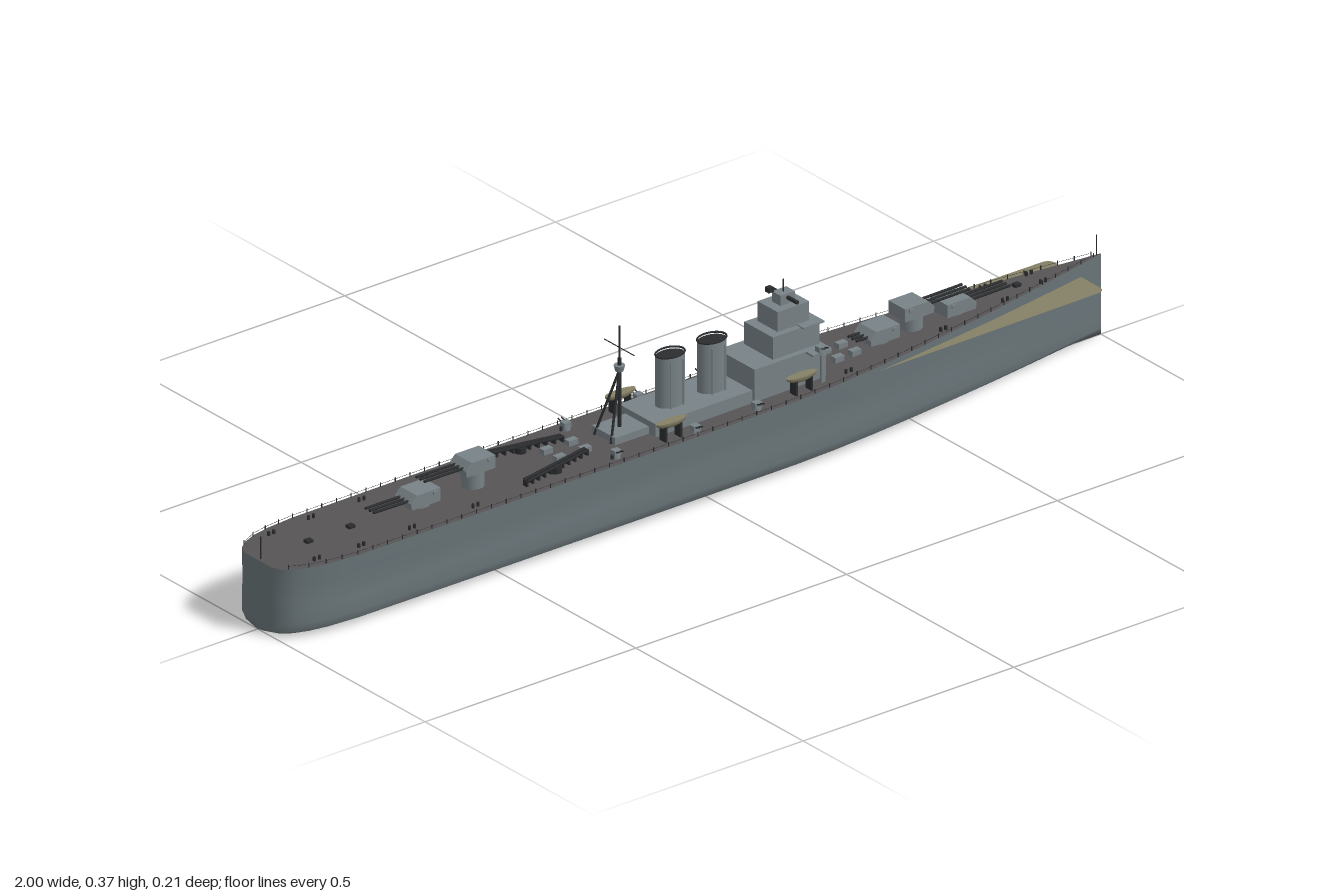
import * as THREE from 'three';
import { mergeGeometries } from 'three/addons/utils/BufferGeometryUtils.js';

const material = (name, color, side = THREE.FrontSide) => {
  const m = new THREE.MeshStandardMaterial({ color, side });
  m.name = name;
  return m;
};

// Hull plan: [x, half width] from stern to bow
const PLAN = [[-1, 0], [-1, 0.04], [-0.99, 0.06], [-0.97, 0.075], [-0.94, 0.087], [-0.9, 0.095],
  [-0.84, 0.1], [-0.5, 0.102], [0, 0.102], [0.2, 0.101], [0.3, 0.097], [0.4, 0.089], [0.5, 0.078],
  [0.6, 0.065], [0.7, 0.051], [0.8, 0.035], [0.9, 0.018], [1, 0.0005]];
const deckY = x => 0.144 + (x > 0.1 ? 0.024 * Math.pow((x - 0.1) / 0.9, 1.3) : 0);
const halfWidth = x => {
  const i = Math.max(2, PLAN.findIndex(p => p[0] >= x));
  const [a, b] = [PLAN[i - 1], PLAN[i]];
  return a[1] + (b[1] - a[1]) * (x - a[0]) / (b[0] - a[0]);
};

// Skin between equal-length rows of points
function skin(rows, flip = false) {
  const n = rows[0].length, index = [];
  for (let i = 0; i < rows.length - 1; i++) for (let j = 0; j < n - 1; j++) {
    const a = i * n + j, b = a + n;
    if (flip) index.push(a, b, a + 1, b, b + 1, a + 1);
    else index.push(a, a + 1, b, b, a + 1, b + 1);
  }
  const g = new THREE.BufferGeometry();
  g.setAttribute('position', new THREE.Float32BufferAttribute(rows.flat(2), 3));
  g.setIndex(index);
  g.computeVertexNormals();
  return g;
}

const boxGeo = (w, h, d, x, y, z) => new THREE.BoxGeometry(w, h, d).translate(x, y + h / 2, z);
function rodGeo(a, b, r, sides = 8) {
  const p = new THREE.Vector3(...a), q = new THREE.Vector3(...b), dir = q.clone().sub(p);
  const g = new THREE.CylinderGeometry(r, r, dir.length(), sides);
  g.applyQuaternion(new THREE.Quaternion().setFromUnitVectors(new THREE.Vector3(0, 1, 0), dir.clone().normalize()));
  return g.translate(...p.add(q).multiplyScalar(0.5).toArray());
}

export function createModel() {
  const ship = new THREE.Group();
  ship.name = 'warship';
  const hullGray = material('hull gray', 0x697478);
  const gray = material('superstructure gray', 0x788286);
  const deckGray = material('deck gray', 0x575456);
  const dark = material('dark fittings', 0x2b2d2f);
  const tan = material('tan', 0x858066, THREE.DoubleSide);
  const add = (name, geo, mat, parent = ship) => {
    const m = new THREE.Mesh(Array.isArray(geo) ? mergeGeometries(geo) : geo, mat);
    m.name = name;
    parent.add(m);
    return m;
  };

  // Hull shell and deck
  add('hull', skin(PLAN.map(([x, w]) => {
    const half = [[1, deckY(x)], [0.985, 0.11], [0.965, 0.078], [1, 0.062], [1, 0.03], [0.985, 0.014],
      [0.9, 0.009], [0.5, 0.005]];
    return [...half.map(([k, y]) => [x, y, k * w]), [x, 0.001, 0],
      ...half.slice().reverse().map(([k, y]) => [x, y, -k * w])];
  })), hullGray);
  add('deck', skin(PLAN.map(([x, w]) => [[x, deckY(x), w], [x, deckY(x), -w]]), true), deckGray);

  // Thin lower deck plate reaching past the bow flanks
  const plate = new THREE.Shape();
  plate.moveTo(0.2, -0.09);
  plate.lineTo(0.925, -0.084);
  plate.quadraticCurveTo(0.945, -0.084, 0.945, -0.065);
  plate.lineTo(0.945, 0.065);
  plate.quadraticCurveTo(0.945, 0.084, 0.925, 0.084);
  plate.lineTo(0.2, 0.09);
  add('lowerDeckPlate', new THREE.ShapeGeometry(plate).rotateX(-Math.PI / 2).translate(0, 0.14, 0), tan);

  // Guard rails following the deck edge
  const rails = [];
  for (const s of [1, -1]) {
    let last = null;
    for (let x = -0.98; x < 0.99; x += 0.035) {
      const y = deckY(x), z = s * halfWidth(x) * 0.98;
      rails.push(boxGeo(0.0015, 0.009, 0.0015, x, y, z));
      if (last) rails.push(rodGeo(last, [x, y + 0.006, z], 0.0004, 4));
      last = [x, y + 0.006, z];
    }
  }
  add('guardRails', rails, dark);

  // Bollards, hatches and end staffs
  const fittings = [rodGeo([0.99, 0.165, 0], [0.99, 0.21, 0], 0.001), rodGeo([-0.993, 0.14, 0], [-0.993, 0.19, 0], 0.001)];
  for (const x of [-0.92, -0.82, -0.7, -0.55, -0.22, 0.34, 0.58, 0.74, 0.84]) for (const s of [1, -1])
    for (const dx of [0, 0.012])
      fittings.push(new THREE.CylinderGeometry(0.003, 0.003, 0.008, 8).translate(x + dx, deckY(x) + 0.004, s * halfWidth(x) * 0.75));
  for (const x of [-0.88, -0.78, 0.8]) fittings.push(boxGeo(0.014, 0.006, 0.012, x, deckY(x), 0));
  add('deckFittings', fittings, dark);

  // Gun turrets: position, roof height, direction, barrel length
  function turret(x, y, dir, reach) {
    const g = new THREE.Group();
    g.name = 'gunTurret';
    g.position.set(x, y, 0);
    g.rotation.y = dir < 0 ? Math.PI : 0;
    const profile = new THREE.Shape([[-0.034, 0], [0.034, 0], [0.036, 0.013], [0.022, 0.027], [-0.034, 0.027]]
      .map(p => new THREE.Vector2(...p)));
    add('turretHouse', new THREE.ExtrudeGeometry(profile, { depth: 0.05, bevelEnabled: false }).translate(0, 0, -0.025), gray, g);
    const h = y - deckY(x) + 0.002;
    add('barbette', new THREE.CylinderGeometry(0.022, 0.022, h, 20).translate(0, -h / 2, 0), gray, g);
    add('barrels', [-0.012, 0, 0.012].map(z => rodGeo([0.03, 0.014, z], [reach, 0.015, z], 0.0028)), dark, g);
    add('rangefinder', boxGeo(0.009, 0.006, 0.056, -0.02, 0.018, 0), gray, g);
    ship.add(g);
  }
  turret(-0.62, 0.15, -1, 0.115);
  turret(-0.49, 0.178, -1, 0.125);
  turret(0.47, 0.156, -1, 0.06);
  turret(0.55, 0.182, 1, 0.13);
  turret(0.65, 0.16, 1, 0.125);

  // Deckhouse and stepped bridge tower
  add('deckhouse', [boxGeo(0.23, 0.028, 0.11, 0.015, 0.143, 0), boxGeo(0.08, 0.016, 0.07, -0.14, 0.143, 0)], gray);
  add('bridgeTower', [boxGeo(0.17, 0.068, 0.11, 0.22, 0.144, 0), boxGeo(0.11, 0.048, 0.086, 0.243, 0.21, 0),
    boxGeo(0.075, 0.042, 0.06, 0.247, 0.257, 0), boxGeo(0.034, 0.022, 0.026, 0.247, 0.298, 0)], gray);
  add('bridgeWings', [boxGeo(0.045, 0.004, 0.15, 0.28, 0.208, 0), boxGeo(0.05, 0.003, 0.1, 0.28, 0.257, 0)], gray);
  const windows = [];
  for (const [x, y, half] of [[0.305, 0.2, 0.05], [0.298, 0.246, 0.038], [0.2845, 0.289, 0.026]])
    for (let z = -half + 0.006; z < half; z += 0.012) windows.push(boxGeo(0.002, 0.005, 0.007, x, y, z));
  add('bridgeWindows', windows, dark);
  add('director', [rodGeo([0.247, 0.312, -0.036], [0.247, 0.312, 0.042], 0.004),
    rodGeo([0.247, 0.315, 0], [0.247, 0.345, 0], 0.0015), boxGeo(0.012, 0.01, 0.012, 0.225, 0.32, -0.014)], dark);

  // Funnels, open at the top with a dark inside and rim
  for (const x of [-0.022, 0.077]) {
    const g = new THREE.Group();
    g.name = 'funnel';
    g.position.set(x, 0.165, 0);
    g.scale.z = 0.7;
    add('funnelBody', new THREE.CylinderGeometry(0.031, 0.031, 0.11, 28, 1, true).translate(0, 0.055, 0), gray, g);
    add('funnelMouth', new THREE.CircleGeometry(0.031, 28).rotateX(-Math.PI / 2).translate(0, 0.106, 0), dark, g);
    add('funnelRim', new THREE.TorusGeometry(0.031, 0.002, 6, 28).rotateX(Math.PI / 2).translate(0, 0.11, 0), dark, g);
    add('steamPipes', [-1, 1].map(s => rodGeo([s * 0.015, 0, 0.031], [s * 0.015, 0.1, 0.031], 0.002, 6)), gray, g);
    ship.add(g);
  }

  // Tripod mainmast with yard and lookout platform
  const mx = -0.142;
  add('tripodMast', [rodGeo([mx, 0.144, 0], [mx, 0.3, 0], 0.004), rodGeo([mx, 0.3, 0], [mx, 0.367, 0], 0.0018),
    rodGeo([mx - 0.04, 0.144, 0.025], [mx, 0.275, 0], 0.0025), rodGeo([mx - 0.04, 0.144, -0.025], [mx, 0.275, 0], 0.0025),
    rodGeo([mx, 0.322, -0.045], [mx, 0.322, 0.045], 0.001)], dark);
  add('mastPlatform', new THREE.CylinderGeometry(0.011, 0.008, 0.012, 12).translate(mx, 0.28, 0), gray);

  // Mirrored side gear
  for (const s of [1, -1]) {
    // Aircraft catapults set diagonally, with girder rungs
    const cat = [];
    for (const d of [-0.005, 0.005]) cat.push(rodGeo([-0.42, 0.158, s * 0.07 + d], [-0.25, 0.158, s * 0.036 + d], 0.003, 6));
    for (let t = 0; t <= 1; t += 0.1) cat.push(boxGeo(0.004, 0.012, 0.012, -0.42 + 0.17 * t, 0.147, s * (0.07 - 0.034 * t)));
    cat.push(new THREE.CylinderGeometry(0.012, 0.012, 0.012, 12).translate(-0.335, 0.15, s * 0.053));
    add('catapult', cat, dark);

    // Ship's boats
    for (const x of [-0.08, 0.23]) {
      add('boat', new THREE.SphereGeometry(1, 16, 8, 0, Math.PI * 2, Math.PI / 2, Math.PI / 2)
        .scale(0.036, 0.014, 0.011).translate(x, 0.182, s * 0.076), tan);
      add('boatCover', new THREE.CircleGeometry(1, 16).rotateX(-Math.PI / 2).scale(0.036, 1, 0.011)
        .translate(x, 0.182, s * 0.076), tan);
      add('boatCradle', [-0.018, 0.018].map(d => boxGeo(0.004, 0.032, 0.018, x + d, 0.143, s * 0.076)), dark);
    }

    // Secondary guns on deck and on the bridge wings
    for (const [x, y, z] of [[-0.21, 0.144, 0.075], [-0.03, 0.144, 0.085], [0.12, 0.144, 0.08], [0.28, 0.207, 0.07]]) {
      add('secondaryGunMount', [new THREE.CylinderGeometry(0.008, 0.009, 0.008, 12).translate(x, y + 0.004, s * z),
        new THREE.BoxGeometry(0.016, 0.011, 0.014).translate(x, y + 0.011, s * z)], gray);
      add('secondaryGunBarrels', [-0.004, 0.004].map(d =>
        rodGeo([x + d, y + 0.011, s * z], [x + d, y + 0.018, s * (z + 0.018)], 0.0013, 6)), dark);
    }

    // Wing supports and deck lockers
    add('wingSupport', boxGeo(0.01, 0.066, 0.004, 0.285, 0.144, s * 0.07), gray);
    add('lockers', [-0.3, -0.24, 0.36, 0.4].map(x => boxGeo(0.022, 0.012, 0.014, x, deckY(x) - 0.001, s * 0.02)), gray);
  }
  return ship;
}
